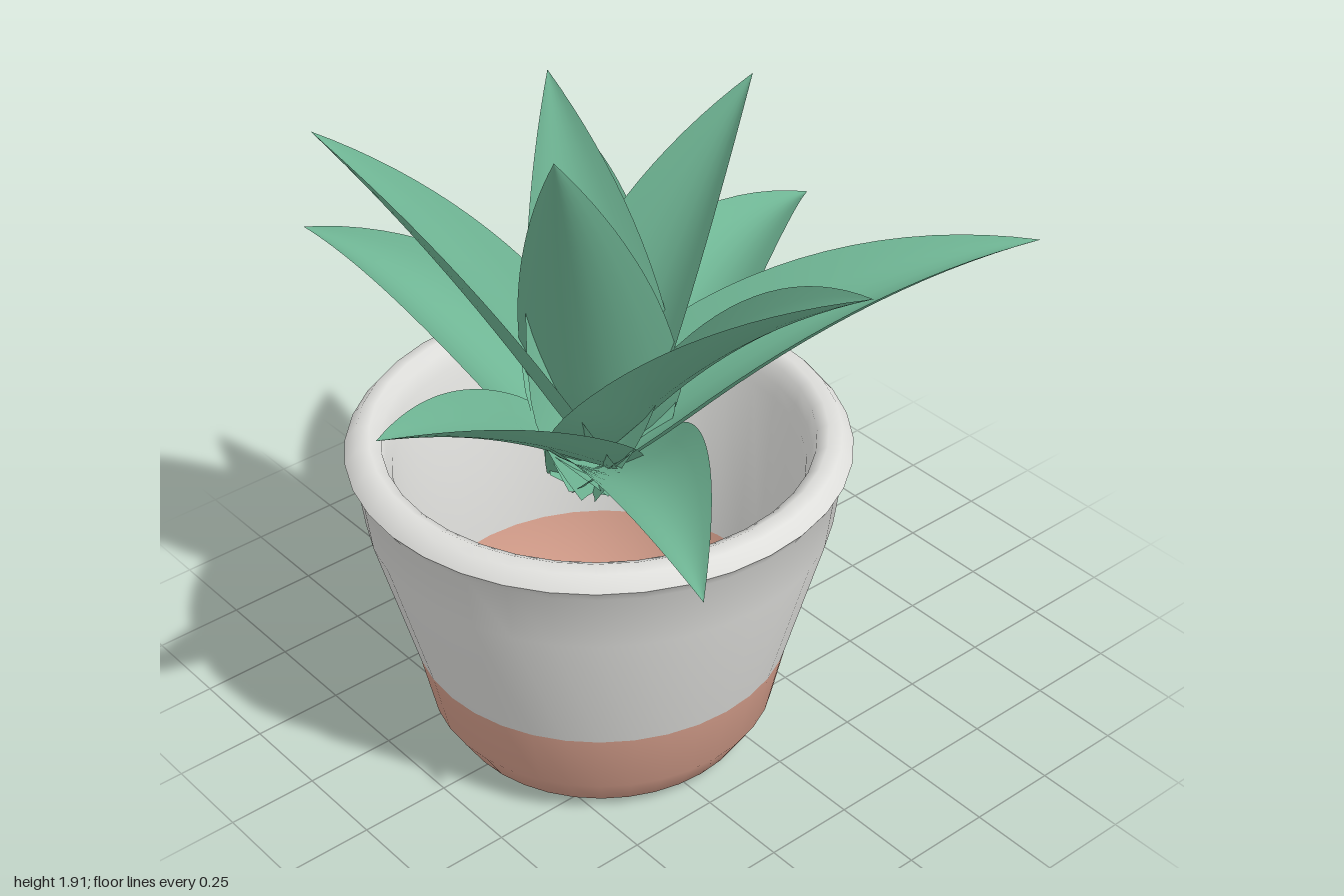
import * as THREE from 'three';
import { toCreasedNormals } from 'three/addons/utils/BufferGeometryUtils.js';

const CX = -0.215, CZ = 0.015; // pot axis

// A channelled, pointed leaf, widest near its base, that crosses the crown and follows a curve to its tip
function leafGeometry(tip, width, bowOut, bowY) {
  const dir = new THREE.Vector3(tip.x - CX, 0, tip.z - CZ);
  const reach = dir.length();
  dir.normalize();
  const at = (r, y) => new THREE.Vector3(CX + dir.x * r, y, CZ + dir.z * r);
  const curve = new THREE.QuadraticBezierCurve3(at(-0.07, 0.78), at(reach * bowOut, bowY), tip);
  const side = new THREE.Vector3(-dir.z, 0, dir.x);
  const geo = new THREE.PlaneGeometry(1, 1, 8, 20);
  const pos = geo.attributes.position;
  const peak = 0.25;
  for (let i = 0; i < pos.count; i++) {
    const v = pos.getX(i) * 2;
    const t = THREE.MathUtils.clamp(pos.getY(i) + 0.5, 0, 1);
    const u = Math.max(0, (t - peak) / (1 - peak));
    const half = (width / 2) * (t < peak
      ? 0.45 + 0.55 * Math.sin((t / peak) * Math.PI / 2)
      : 1 - Math.pow(u, 1.65));
    const up = side.clone().cross(curve.getTangent(t));
    const p = curve.getPoint(t)
      .addScaledVector(side, half * v)
      .addScaledVector(up, half * 0.5 * (v * v - 0.4));
    pos.setXYZ(i, p.x, p.y, p.z);
  }
  geo.computeVertexNormals();
  return geo;
}

export function createModel() {
  const glaze = new THREE.MeshStandardMaterial({ color: 0xdededb });
  glaze.name = 'white glaze';
  const clay = new THREE.MeshStandardMaterial({ color: 0xd69f8c });
  clay.name = 'bare clay';
  const green = new THREE.MeshStandardMaterial({ color: 0x6fb594, side: THREE.DoubleSide });
  green.name = 'leaf green';

  const model = new THREE.Group();
  model.name = 'pottedSucculent';

  // Pot: each band is a lathe profile of [radius, height]
  const pot = new THREE.Group();
  pot.name = 'pot';
  pot.position.set(CX, 0, CZ);
  model.add(pot);
  const band = (name, profile, material) => {
    const lathe = new THREE.LatheGeometry(profile.map(([r, y]) => new THREE.Vector2(r, y)), 36);
    const mesh = new THREE.Mesh(toCreasedNormals(lathe, 1.1), material);
    mesh.name = name;
    pot.add(mesh);
  };
  band('clayBase', [[0, 0], [0.31, 0], [0.41, 0.03], [0.465, 0.12], [0.505, 0.305]], clay);
  band('glazedBody', [
    [0.505, 0.305], [0.612, 0.7], [0.632, 0.86], [0.655, 0.895], [0.625, 0.932], [0.59, 0.937],
    [0.56, 0.92], [0.55, 0.87], [0.535, 0.84], [0.495, 0.305],
  ], glaze);
  band('clayInside', [[0.495, 0.305], [0.45, 0.14], [0.39, 0.06], [0, 0.05]], clay);

  // Leaves: tip x, y, z, width, then the bend's share of the reach and its height
  const leaves = new THREE.Group();
  leaves.name = 'leaves';
  model.add(leaves);
  [
    // low, arching leaves
    [-0.48, 1.22, -0.9, 0.40, 0.46, 1.25],
    [0.995, 0.96, -0.5, 0.44, 0.43, 1.25],
    [-0.635, 1.10, 0.9, 0.38, 0.47, 1.24],
    [-1.0, 1.32, 0.17, 0.36, 0.44, 1.19],
    // middle leaves
    [0.245, 1.38, -0.625, 0.38, 0.46, 1.29],
    [0.77, 1.37, 0.59, 0.42, 0.43, 1.34],
    [-0.08, 1.65, 0.84, 0.44, 0.38, 1.40],
    // upright inner leaves
    [-0.725, 1.78, -0.44, 0.42, 0.36, 1.39],
    [-0.525, 1.91, 0.25, 0.42, 0.32, 1.40],
    [0.29, 1.78, 0.02, 0.44, 0.36, 1.39],
    [-0.125, 1.81, -0.28, 0.40, 0.30, 1.38],
  ].forEach(([x, y, z, width, bowOut, bowY], i) => {
    const leaf = new THREE.Mesh(leafGeometry(new THREE.Vector3(x, y, z), width, bowOut, bowY), green);
    leaf.name = `leaf${i + 1}`;
    leaves.add(leaf);
  });

  return model;
}
